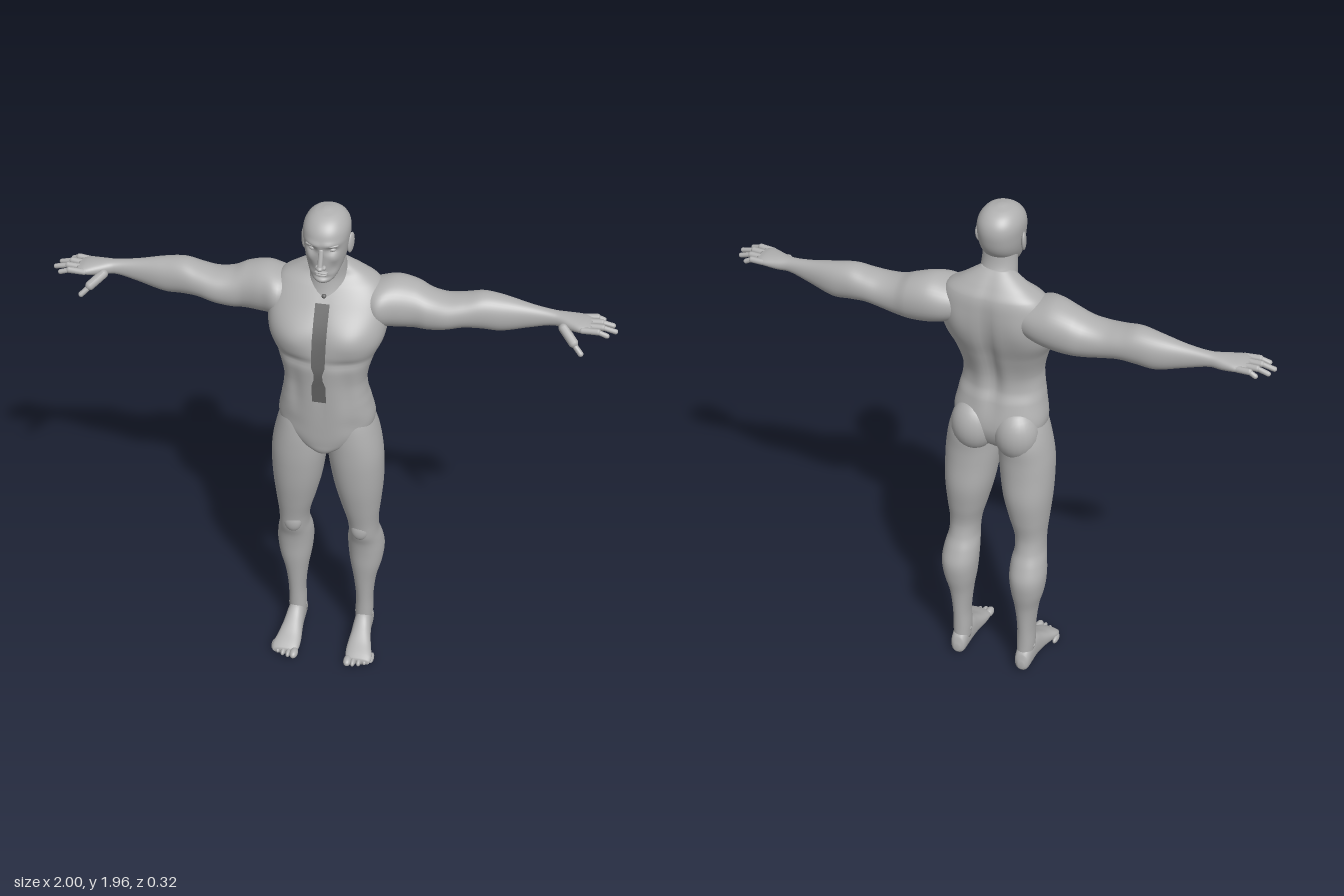
import * as THREE from 'three';

const skin = new THREE.MeshStandardMaterial({ color: 0xb0b0b0 });
skin.name = 'body grey';
const dark = new THREE.MeshStandardMaterial({ color: 0x666666, side: THREE.DoubleSide });
dark.name = 'dark grey';

// Smooth loft along an axis (0 x, 1 y, 2 z). Row: [t, a0, a1, b0, b1], the extents on
// the next two axes in cyclic order. n sets squareness, warp moves each point.
function loft(axis, rows, { n = 2, sides = 40, steps = 5, warp } = {}) {
  const slope = (i, k) => {
    const p = rows[Math.max(i - 1, 0)], q = rows[Math.min(i + 1, rows.length - 1)];
    return (q[k] - p[k]) / (q[0] - p[0]);
  };
  const rings = [];
  for (let i = 0; i < rows.length - 1; i++) {
    const h = rows[i + 1][0] - rows[i][0];
    for (let s = i ? 1 : 0; s <= steps; s++) {
      const u = s / steps, u2 = u * u, u3 = u2 * u;
      rings.push(rows[i].map((v, k) => k === 0 ? v + h * u :
        (2 * u3 - 3 * u2 + 1) * v + (u3 - 2 * u2 + u) * h * slope(i, k) +
        (3 * u2 - 2 * u3) * rows[i + 1][k] + (u3 - u2) * h * slope(i + 1, k)));
    }
  }
  const pos = [], idx = [];
  const put = (t, a, b) => {
    const p = [0, 0, 0];
    p[axis] = t; p[(axis + 1) % 3] = a; p[(axis + 2) % 3] = b;
    if (warp) warp(p);
    pos.push(...p);
  };
  const bend = v => Math.sign(v) * Math.abs(v) ** (2 / n);
  for (const [t, a0, a1, b0, b1] of rings)
    for (let j = 0; j < sides; j++) {
      const w = j / sides * Math.PI * 2;
      put(t, (a0 + a1) / 2 + (a1 - a0) / 2 * bend(Math.cos(w)), (b0 + b1) / 2 + (b1 - b0) / 2 * bend(Math.sin(w)));
    }
  const last = (rings.length - 1) * sides, c = rings.length * sides;
  for (const r of [rings[0], rings[rings.length - 1]]) put(r[0], (r[1] + r[2]) / 2, (r[3] + r[4]) / 2);
  for (let j = 0; j < sides; j++) {
    const k = (j + 1) % sides;
    for (let o = 0; o < last; o += sides) idx.push(o + j, o + k, o + sides + j, o + k, o + sides + k, o + sides + j);
    idx.push(c, k, j, c + 1, last + j, last + k);
  }
  const g = new THREE.BufferGeometry();
  g.setAttribute('position', new THREE.Float32BufferAttribute(pos, 3));
  g.setIndex(idx);
  g.computeVertexNormals();
  return g;
}

// Ellipsoid, optionally turned
const blob = (x, y, z, rx, ry, rz, turnX = 0, turnY = 0) => new THREE.SphereGeometry(1, 24, 16)
  .scale(rx, ry, rz).rotateX(turnX).rotateY(turnY).translate(x, y, z);

// Rounded rod between two points
function rod(a, b, r) {
  const p = new THREE.Vector3(...a), q = new THREE.Vector3(...b), d = q.clone().sub(p);
  const turn = new THREE.Quaternion().setFromUnitVectors(new THREE.Vector3(0, 1, 0), d.clone().normalize());
  return new THREE.CapsuleGeometry(r, d.length(), 6, 12).applyQuaternion(turn).translate(...p.add(q).multiplyScalar(0.5).toArray());
}

// Mirror across x, keeping faces outward
function mirrored(g) {
  const m = g.clone().scale(-1, 1, 1), ix = m.index.array;
  for (let i = 0; i < ix.length; i += 3) [ix[i], ix[i + 1]] = [ix[i + 1], ix[i]];
  m.computeVertexNormals();
  return m;
}

const hill = (u, v, w, h) => Math.exp(-((u / w) ** 2) - ((v / h) ** 2));

// Chest, abdomen and back relief
function torsoRelief(p) {
  const [x, y, z] = p, ax = Math.abs(x);
  if (z > 0.02) {
    p[2] += 0.014 * hill(ax - 0.1, y - 1.5, 0.07, 0.055) - 0.008 * hill(ax, y - 1.5, 0.02, 0.1)
      - 0.008 * hill(ax - 0.09, y - 1.405, 0.09, 0.018) - 0.004 * hill(ax, y - 1.3, 0.012, 0.1)
      - 0.008 * hill(ax - 0.09, y - 1.28, 0.025, 0.1) - 0.006 * hill(ax - 0.12, y - 1.12, 0.05, 0.04);
  } else if (z < -0.04) {
    p[2] += 0.018 * hill(ax, y - 1.42, 0.025, 0.2) - 0.008 * hill(ax - 0.12, y - 1.54, 0.05, 0.07)
      - 0.006 * hill(ax - 0.05, y - 1.28, 0.03, 0.1);
  }
}

// Eye sockets, brow, cheeks and mouth line
function faceRelief(p) {
  const [x, y, z] = p, ax = Math.abs(x);
  if (z < 0.03) return;
  p[2] += -0.014 * hill(ax - 0.035, y - 1.848, 0.018, 0.013) + 0.006 * hill(ax - 0.03, y - 1.872, 0.035, 0.01)
    + 0.005 * hill(ax - 0.045, y - 1.815, 0.015, 0.015) - 0.005 * hill(ax - 0.04, y - 1.775, 0.015, 0.02)
    + 0.007 * hill(ax, y - 1.728, 0.025, 0.012) - 0.005 * hill(ax, y - 1.743, 0.03, 0.007);
}

export function createModel() {
  const model = new THREE.Group();
  const add = (name, g, mat = skin) => {
    const m = new THREE.Mesh(g, mat);
    m.name = name;
    model.add(m);
  };
  const pair = (name, g) => { add('left ' + name, g); add('right ' + name, mirrored(g)); };
  const even = rows => rows.map(([y, w, zb, zf]) => [y, zb, zf, -w, w]);

  // Trunk, neck and head
  add('torso', loft(1, even([
    [0.965, 0.02, -0.03, 0.06], [0.99, 0.05, -0.06, 0.095], [1.03, 0.12, -0.1, 0.106], [1.1, 0.172, -0.12, 0.113],
    [1.2, 0.161, -0.1, 0.12], [1.25, 0.151, -0.082, 0.123], [1.31, 0.148, -0.085, 0.127], [1.4, 0.172, -0.115, 0.135],
    [1.47, 0.203, -0.14, 0.133], [1.53, 0.21, -0.152, 0.115], [1.6, 0.205, -0.155, 0.07], [1.655, 0.175, -0.148, 0.03],
    [1.69, 0.125, -0.125, 0.0], [1.72, 0.08, -0.1, -0.01], [1.74, 0.05, -0.08, -0.02],
  ]), { n: 2.35, sides: 80, steps: 7, warp: torsoRelief }));
  add('neck', loft(1, even([
    [1.62, 0.09, -0.14, 0.05], [1.66, 0.078, -0.125, 0.038], [1.7, 0.068, -0.1, 0.032],
    [1.75, 0.063, -0.074, 0.036], [1.81, 0.06, -0.065, 0.04],
  ])));
  add('head', loft(1, even([
    [1.713, 0.012, 0.05, 0.075], [1.72, 0.03, 0.025, 0.09], [1.74, 0.047, -0.005, 0.096], [1.77, 0.061, -0.05, 0.097],
    [1.81, 0.072, -0.086, 0.1], [1.86, 0.079, -0.101, 0.104], [1.9, 0.079, -0.1, 0.098], [1.93, 0.066, -0.083, 0.078],
    [1.95, 0.042, -0.053, 0.046], [1.959, 0.01, -0.015, 0.008],
  ]), { n: 2.15, sides: 72, steps: 7, warp: faceRelief }));
  add('nose bridge', rod([0, 1.85, 0.1], [0, 1.797, 0.12], 0.009));
  add('nose tip', blob(0, 1.793, 0.119, 0.012, 0.01, 0.016));
  pair('nostril', blob(0.011, 1.79, 0.109, 0.008, 0.008, 0.011));
  add('upper lip', blob(0, 1.766, 0.1, 0.024, 0.005, 0.01));
  add('lower lip', blob(0, 1.756, 0.099, 0.02, 0.006, 0.009));
  pair('eye', blob(0.033, 1.848, 0.077, 0.014, 0.008, 0.012));
  pair('brow', blob(0.035, 1.868, 0.091, 0.023, 0.005, 0.009, 0, 0.35));
  pair('ear', blob(0.081, 1.832, -0.003, 0.009, 0.037, 0.022, -0.2, -0.25));

  // Arm from inside the chest to the knuckles
  pair('arm', loft(0, [
    [0.1, 1.53, 1.63, -0.13, -0.01], [0.17, 1.5, 1.657, -0.155, 0.045], [0.23, 1.489, 1.668, -0.163, 0.028],
    [0.3, 1.486, 1.652, -0.159, 0.008], [0.35, 1.487, 1.63, -0.147, 0.008], [0.41, 1.497, 1.621, -0.14, 0.008],
    [0.47, 1.509, 1.628, -0.14, -0.003], [0.53, 1.507, 1.64, -0.14, -0.015], [0.6, 1.502, 1.632, -0.134, -0.028],
    [0.7, 1.528, 1.613, -0.11, -0.046], [0.78, 1.55, 1.603, -0.099, -0.047], [0.83, 1.55, 1.601, -0.105, -0.025],
    [0.88, 1.558, 1.596, -0.109, -0.004], [0.91, 1.564, 1.587, -0.1, -0.01],
  ], { n: 2.15 }));

  // Fingers: [root z, tip z, tip x]
  [[-0.098, -0.105, 0.945], [-0.07, -0.075, 0.98], [-0.042, -0.04, 0.991], [-0.014, -0.008, 0.965]].forEach(([z0, z1, x], i) => {
    const mid = [(0.88 + x) / 2 + 0.01, 1.58, (z0 + z1) / 2];
    pair('finger base ' + (i + 1), rod([0.88, 1.577, z0], mid, 0.0115));
    pair('fingertip ' + (i + 1), rod(mid, [x, 1.57, z1], 0.009));
  });
  pair('thumb base', rod([0.815, 1.567, -0.03], [0.855, 1.535, 0.005], 0.017));
  pair('thumb tip', rod([0.855, 1.533, 0.006], [0.884, 1.506, 0.024], 0.01));

  // Legs: [y, back z, front z, inner x, outer x]
  pair('leg', loft(1, [
    [0.06, -0.122, -0.03, 0.1, 0.162], [0.12, -0.12, -0.03, 0.098, 0.166], [0.2, -0.123, -0.025, 0.1, 0.166],
    [0.3, -0.133, -0.013, 0.09, 0.177], [0.38, -0.15, -0.002, 0.076, 0.197], [0.45, -0.155, 0.004, 0.069, 0.205],
    [0.51, -0.135, 0.014, 0.07, 0.199], [0.56, -0.113, 0.032, 0.077, 0.189], [0.62, -0.104, 0.042, 0.072, 0.188],
    [0.7, -0.117, 0.06, 0.05, 0.196], [0.8, -0.129, 0.08, 0.025, 0.205], [0.9, -0.122, 0.092, 0.009, 0.207],
    [0.97, -0.119, 0.096, 0.003, 0.203], [1.05, -0.12, 0.095, 0.005, 0.188], [1.13, -0.095, 0.085, 0.02, 0.163],
    [1.19, -0.06, 0.06, 0.05, 0.13],
  ], { n: 2.15 }));
  pair('kneecap', blob(0.128, 0.59, 0.018, 0.034, 0.045, 0.024));
  pair('buttock', blob(0.082, 1.075, -0.062, 0.084, 0.105, 0.08));

  // Foot along z: [z, inner x, outer x, sole y, top y]
  pair('foot', loft(2, [
    [-0.137, 0.122, 0.146, 0.02, 0.05], [-0.125, 0.106, 0.16, 0.006, 0.085], [-0.09, 0.101, 0.165, 0.001, 0.115],
    [-0.04, 0.099, 0.167, 0.001, 0.125], [0.01, 0.096, 0.174, 0.003, 0.095], [0.06, 0.091, 0.186, 0.002, 0.064],
    [0.1, 0.092, 0.196, 0.001, 0.044], [0.125, 0.1, 0.19, 0.005, 0.03],
  ], { n: 2.3 }));
  pair('ankle bone', blob(0.132, 0.1, -0.075, 0.037, 0.018, 0.02));
  for (let i = 0; i < 5; i++)
    pair('toe ' + (i + 1), blob(0.106 + i * 0.0215, 0.018 - i * 0.0015, 0.127 - i * i * 0.0025,
      i ? 0.0105 : 0.016, i ? 0.0145 : 0.017, 0.027));

  // Front strip with a narrow waist: [y, z, half width]
  const strip = [[1.625, 0.08, 0.025], [1.56, 0.118, 0.025], [1.5, 0.145, 0.025], [1.41, 0.16, 0.024],
    [1.38, 0.159, 0.015], [1.355, 0.156, 0.016], [1.325, 0.151, 0.025], [1.25, 0.14, 0.025]];
  const band = new THREE.PlaneGeometry(1, 1, 1, strip.length - 1), bp = band.attributes.position;
  strip.forEach(([y, z, w], i) => { bp.setXYZ(2 * i, -w, y, z); bp.setXYZ(2 * i + 1, w, y, z); });
  band.computeVertexNormals();
  add('front strip', band, dark);
  add('collar stud', blob(0, 1.64, 0.055, 0.008, 0.008, 0.008), dark);
  return model;
}
